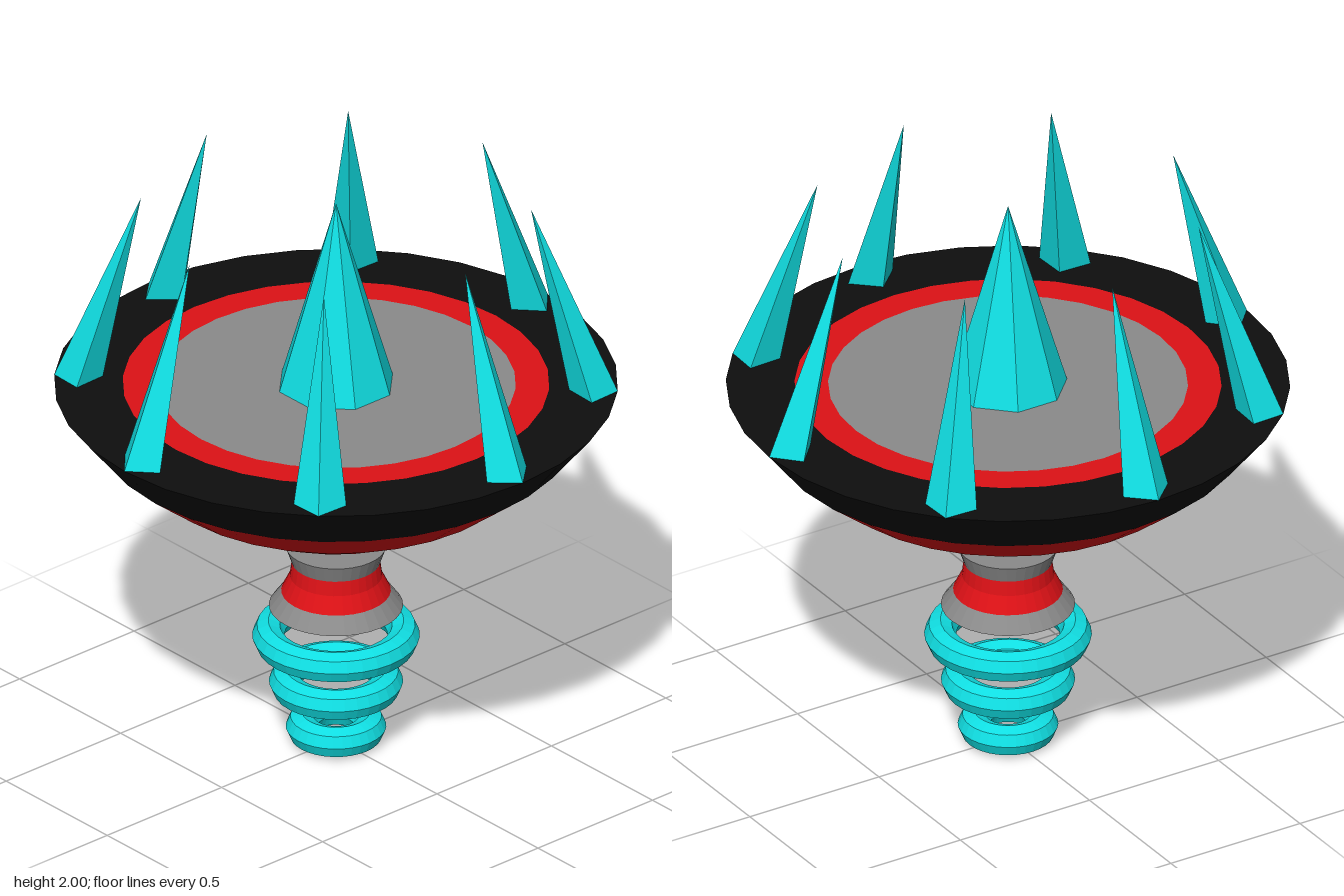
import * as THREE from 'three';

const paint = (color) => new THREE.MeshStandardMaterial({ color, flatShading: true, side: THREE.DoubleSide });

export function createModel() {
  const model = new THREE.Group();
  const teal = paint(0x10dfe3), red = paint(0xdd1116), black = paint(0x0e0e0e), grey = paint(0x8a8a8a);

  const add = (name, geometry, material, y = 0) => {
    const mesh = new THREE.Mesh(geometry, material);
    mesh.name = name;
    mesh.position.y = y;
    model.add(mesh);
    return mesh;
  };
  // Turned part from [radius, height] pairs
  const turn = (name, profile, material, sides = 32) =>
    add(name, new THREE.LatheGeometry(profile.map(([r, y]) => new THREE.Vector2(r, y)), sides), material);

  // Dish: coloured bands from the underside out to the rim
  turn('dishBottom', [[0, 0.842], [0.22, 0.862]], teal);
  turn('dishLowerBand', [[0.22, 0.862], [0.43, 0.925]], black);
  turn('dishBody', [[0.43, 0.925], [0.62, 1.03], [0.79, 1.165]], red);
  turn('dishRim', [[0.79, 1.165], [0.925, 1.333]], black);

  // Flat top: floor, ring and border
  turn('dishBorder', [[0.925, 1.333], [0.7, 1.333]], black);
  turn('dishRing', [[0.7, 1.333], [0.59, 1.333]], red);
  turn('dishFloor', [[0.59, 1.333], [0, 1.333]], grey);

  // Central spike
  const spikeHeight = 0.667;
  const centre = new THREE.ConeGeometry(0.196, spikeHeight, 8);
  centre.rotateY(Math.PI / 8);
  add('centreSpike', centre, teal, 1.333 + spikeHeight / 2);

  // Eight four-sided rim spikes with their tips leaning inwards
  const spike = new THREE.ConeGeometry(0.08, spikeHeight, 4);
  spike.scale(1, 1, 1.08);
  spike.translate(0, spikeHeight / 2, 0);
  const p = spike.attributes.position;
  for (let i = 0; i < p.count; i++) {
    p.setX(i, p.getX(i) + 0.845 - 0.205 * p.getY(i) / spikeHeight);
  }
  spike.computeVertexNormals();
  for (let i = 0; i < 8; i++) {
    add('rimSpike' + (i + 1), spike, teal, 1.333).rotation.y = i * Math.PI / 4;
  }

  // Nozzle floating below the dish
  add('nozzleBall', new THREE.SphereGeometry(0.045, 16, 12), teal, 0.728);
  turn('nozzleCollar', [[0, 0.728], [0.165, 0.728], [0.145, 0.67]], grey);
  turn('nozzleBody', [[0.145, 0.67], [0.152, 0.62], [0.18, 0.563]], red);
  turn('nozzleSkirt', [[0.18, 0.563], [0.22, 0.508], [0, 0.508]], grey);

  // Hovering rings, shrinking downwards
  [[0.222, 0.396], [0.167, 0.226], [0.112, 0.058]].forEach(([radius, y], i) => {
    const ring = new THREE.TorusGeometry(radius, 0.053, 8, 32);
    ring.rotateX(Math.PI / 2);
    add('hoverRing' + (i + 1), ring, teal, y);
  });

  return model;
}
